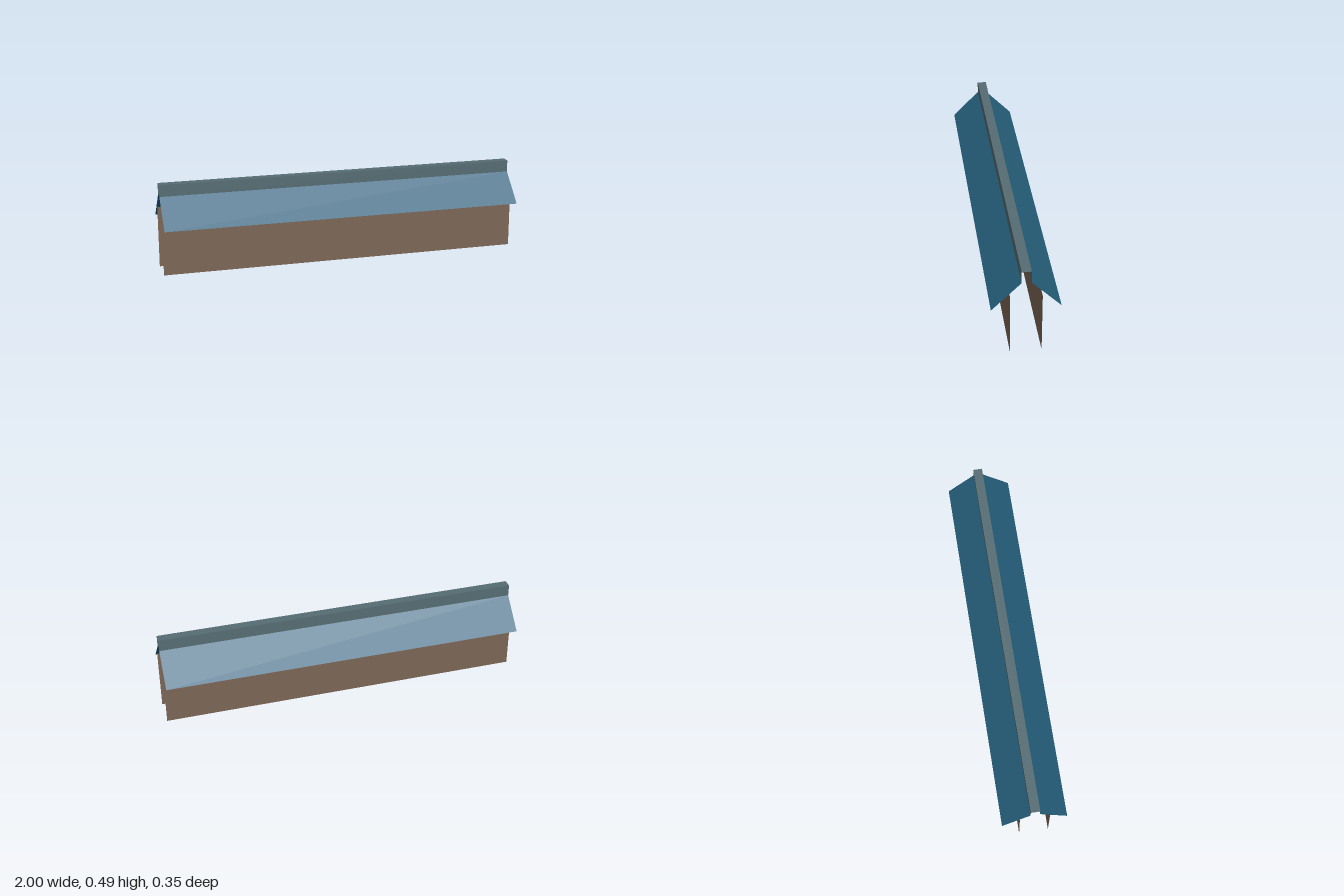
import * as THREE from 'three';

const LENGTH = 2;

function material(name, color) {
  const m = new THREE.MeshStandardMaterial({ color, side: THREE.DoubleSide, flatShading: true });
  m.name = name;
  return m;
}

// Flat sheet running the full length along x, between two [y, z] edges.
// With the lower edge first, the face points towards +z.
function sheet(name, [y0, z0], [y1, z1], mat) {
  const h = LENGTH / 2;
  const geo = new THREE.BufferGeometry();
  geo.setAttribute('position', new THREE.Float32BufferAttribute([
    -h, y0, z0, h, y0, z0, h, y1, z1, -h, y1, z1,
  ], 3));
  geo.setIndex([0, 1, 2, 0, 2, 3]);
  geo.computeVertexNormals();
  const mesh = new THREE.Mesh(geo, mat);
  mesh.name = name;
  return mesh;
}

export function createModel() {
  const wallBrown = material('wall brown', 0x7b6656);
  const roofBlue = material('roof blue', 0x26607d);
  const ridgeGrey = material('ridge grey', 0x556c73);

  const model = new THREE.Group();
  model.name = 'coveredWall';

  // Each half: wall, sloping roof and side of the ridge cap
  for (const [side, turn] of [['front', 0], ['back', Math.PI]]) {
    const half = new THREE.Group();
    half.name = side + 'Half';
    half.add(
      sheet(side + 'Wall', [0, 0.08], [0.338, 0.08], wallBrown),
      sheet(side + 'Roof', [0.27, 0.175], [0.422, 0.025], roofBlue),
      sheet(side + 'RidgeSide', [0.422, 0.025], [0.487, 0.025], ridgeGrey),
    );
    half.rotation.y = turn;
    model.add(half);
  }

  // Flat top of the ridge cap; ends and underside stay open
  model.add(sheet('ridgeTop', [0.487, 0.025], [0.487, -0.025], ridgeGrey));
  return model;
}
